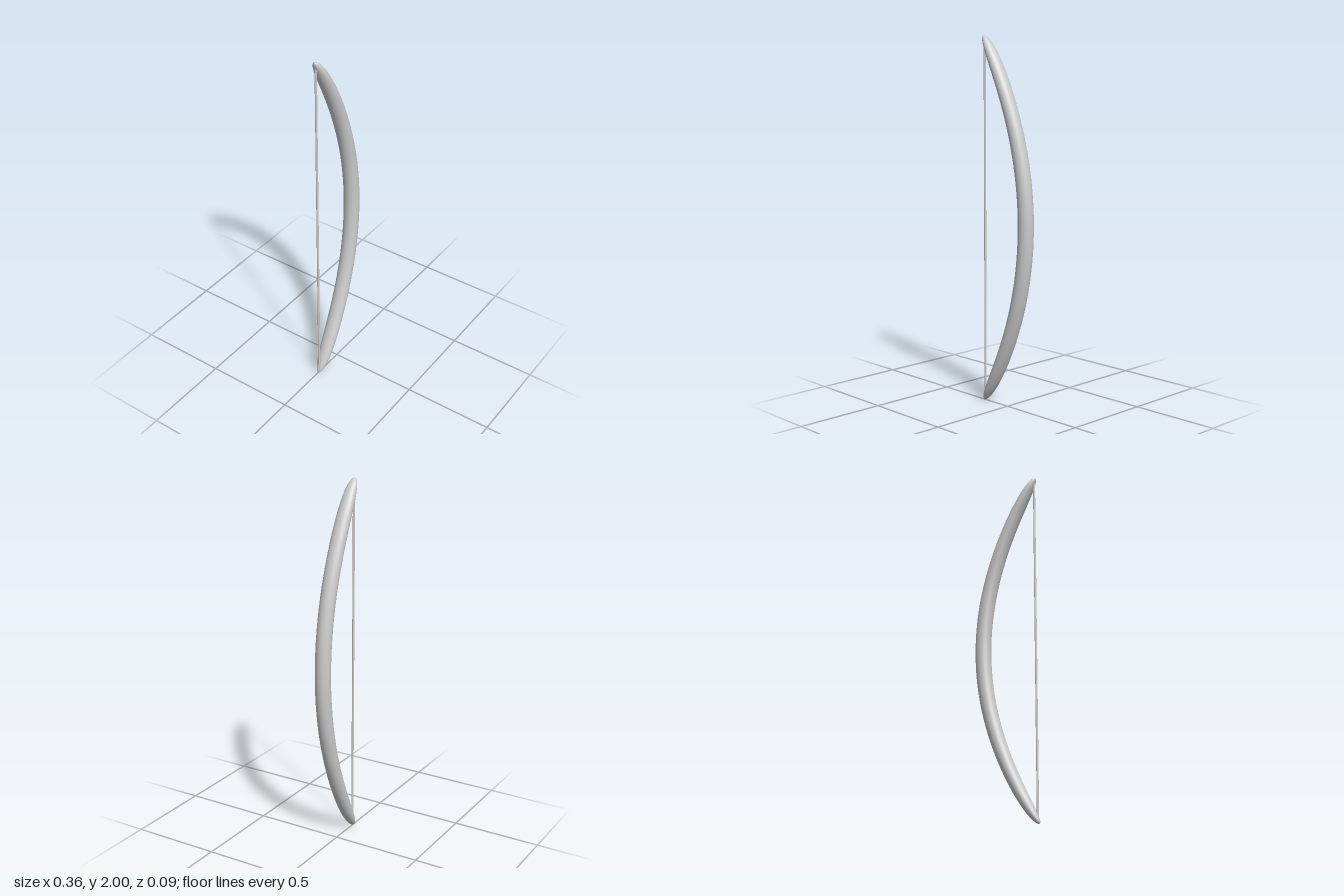
import * as THREE from 'three';
import { mergeVertices } from 'three/addons/utils/BufferGeometryUtils.js';

const material = new THREE.MeshStandardMaterial({ color: 0xcccccc });

// Centre line of the limb: s runs from -1 (lower tip) to 1 (upper tip)
const centreX = (s) => 0.138 - 0.315 * s * s - 0.004 * s ** 16;
const slopeX = (s) => -0.63 * s;

// A sphere stretched along the curved centre line, with rounded, thinner tips
function createLimb() {
  let geometry = new THREE.SphereGeometry(1, 32, 96);
  geometry.deleteAttribute('uv');
  geometry.deleteAttribute('normal');
  const p = geometry.attributes.position;
  for (let i = 0; i < p.count; i++) {
    const s = THREE.MathUtils.clamp(p.getY(i), -1, 1);
    const ring = Math.hypot(p.getX(i), p.getZ(i));
    const cos = ring > 1e-6 ? p.getX(i) / ring : 0;
    const sin = ring > 1e-6 ? p.getZ(i) / ring : 0;
    const halfWidth = 0.0425 * Math.sqrt(Math.max(0, 1 - Math.abs(s) ** 13));
    const halfDepth = halfWidth * (1 - 0.27 * s * s);
    const m = slopeX(s);
    const length = Math.hypot(1, m);
    p.setXYZ(
      i,
      centreX(s) + (halfDepth * cos) / length,
      1 + s - (halfDepth * cos * m) / length,
      halfWidth * sin
    );
  }
  geometry = mergeVertices(geometry, 1e-5);
  geometry.computeVertexNormals();
  const limb = new THREE.Mesh(geometry, material);
  limb.name = 'bowLimb';
  return limb;
}

// Straight string between the two tips
function createString() {
  const string = new THREE.Mesh(new THREE.CylinderGeometry(0.006, 0.006, 1.93, 12), material);
  string.name = 'bowString';
  string.position.set(-0.173, 1, 0);
  return string;
}

export function createModel() {
  const bow = new THREE.Group();
  bow.name = 'bow';
  bow.add(createLimb(), createString());
  return bow;
}
